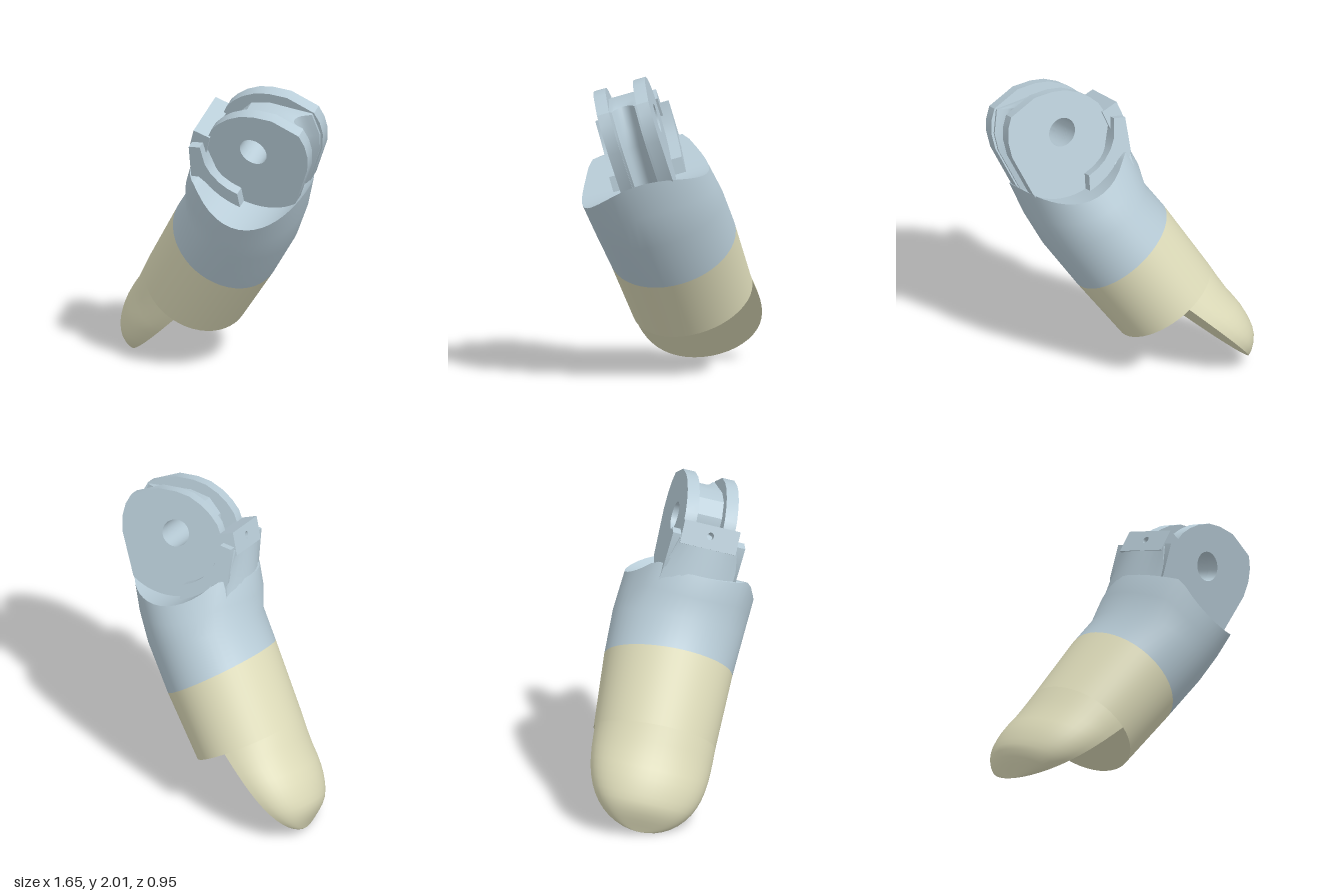
import * as THREE from 'three';
import { toCreasedNormals } from 'three/addons/utils/BufferGeometryUtils.js';

const N = 48; // points round the finger
const V = (x, y, d) => new THREE.Vector3(x, y, d);

// Hinge frame: origin at the middle of the hinge pin, third axis along the pin
const hingeFrame = new THREE.Matrix4().makeBasis(
  V(1, 0, -0.25), V(0, 1, 0.3), V(0.23, -0.28, 0.93)
).setPosition(0.41, 1.69, 0.13);

// Skin between rings of equal point count
function loft(rings, closed) {
  const n = rings[0].length, pos = [], index = [];
  rings.forEach(r => r.forEach(p => pos.push(p.x, p.y, p.z)));
  for (let j = 0; j < rings.length - 1; j++) {
    for (let i = 0; i < (closed ? n : n - 1); i++) {
      const k = (i + 1) % n, a = j * n + i, b = j * n + k;
      index.push(a, a + n, b, b, a + n, b + n);
    }
  }
  const g = new THREE.BufferGeometry();
  g.setAttribute('position', new THREE.Float32BufferAttribute(pos, 3));
  g.setIndex(index);
  return g;
}

// Elliptical section: centre, half height across the finger, half width along the pin
function section([cx, cy, px, py, h, w, off], from = 0, to = N) {
  const ring = [];
  for (let i = from; i < to; i++) {
    const t = i / N * Math.PI * 2, c = Math.cos(t) * h;
    ring.push(V(cx + px * c, cy + py * c, off + w * Math.sin(t)));
  }
  return ring;
}

function outline(points) {
  return new THREE.Shape(points.map(([x, y]) => new THREE.Vector2(x, y)));
}

function pinHole(shape, x, y, r) {
  const hole = new THREE.Path();
  hole.absarc(x, y, r, 0, Math.PI * 2, true);
  shape.holes.push(hole);
  return shape;
}

// Slab lying across the pin between two depths
function slab(shape, d0, d1, steps = 1) {
  const g = new THREE.ExtrudeGeometry(shape, { depth: d1 - d0, steps, bevelEnabled: false, curveSegments: 28 });
  return g.translate(0, 0, d0);
}

export function createModel() {
  const model = new THREE.Group();
  const shellBlue = new THREE.MeshStandardMaterial({ color: 0xb8ccd7, side: THREE.DoubleSide });
  shellBlue.name = 'shellBlue';
  const padTan = new THREE.MeshStandardMaterial({ color: 0xdddbb9, side: THREE.DoubleSide });
  padTan.name = 'padTan';

  function add(name, geometry, material, smooth) {
    let g = geometry.applyMatrix4(hingeFrame);
    if (smooth) g.computeVertexNormals();
    else g = toCreasedNormals(g, 0.5);
    const mesh = new THREE.Mesh(g, material);
    mesh.name = name;
    model.add(mesh);
  }

  // Finger sections from the step upward
  const step = [-0.683, -1.226, 0.84, -0.54, 0.328, 0.395, -0.015];
  const seam = [-0.41, -0.83, 0.8, -0.6, 0.345, 0.415, -0.01];
  const knuckle = [-0.25, -0.6, 0.9, -0.42, 0.35, 0.425, 0.005];

  // Rim follows a scoop turned about the hinge pin
  const rim = section([-0.115, 0, 1, 0, 0.365, 0.42, 0.03]);
  rim.forEach(p => {
    p.y = Math.min(-0.2, -Math.sqrt(Math.max(0.168 - p.x * p.x, 0)));
  });
  const bulge = section(knuckle).map((p, i) => {
    const q = p.clone().lerp(rim[i], 0.5);
    q.x += 0.015 * Math.cos(i / N * Math.PI * 2);
    return q;
  });
  add('upperShell', loft([section(seam), section(knuckle), bulge, rim], true), shellBlue, true);
  const front = [], back = [];
  for (let i = 0; i <= N / 2; i++) {
    front.push(rim[i]);
    back.push(rim[(N - i) % N]);
  }
  add('scoopedTop', loft([front, back], false), shellBlue, true);

  // Lower sleeve and the step under it
  add('lowerSleeve', loft([section(step), section(seam)], true), padTan, true);
  const stepRing = section(step), stepFront = [], stepBack = [];
  for (let i = 0; i <= N / 4; i++) {
    stepFront.push(stepRing[i]);
    stepBack.push(stepRing[(N - i) % N]);
  }
  add('stepFace', loft([stepBack, stepFront], false), padTan, true);

  // Fingertip: half sections between a straight cut line and a curved back
  const [sx, sy, px, py, h, w, off] = step;
  const cutStart = V(sx, sy, 0), cutEnd = V(-1.175, -1.69, 0);
  const backCurve = new THREE.CatmullRomCurve3([
    V(sx - px * h, sy - py * h, 0), V(-1.06, -1.22, 0), V(-1.14, -1.33, 0),
    V(-1.195, -1.435, 0), V(-1.22, -1.53, 0), cutEnd,
  ]);
  const tipRings = [];
  for (let k = 14; k >= 0; k--) {
    const s = Math.sin(k / 14 * Math.PI / 2);
    const c = cutStart.clone().lerp(cutEnd, s), b = backCurve.getPoint(s);
    const width = w * Math.sqrt(Math.max(1 - s ** 3, 0));
    tipRings.push(section([c.x, c.y, c.x - b.x, c.y - b.y, 1, width, off - 0.03 * s], N / 4, 3 * N / 4 + 1));
  }
  add('fingertip', loft(tipRings, false), padTan, true);
  add('flatPad', loft([tipRings.map(r => r[0]), tipRings.map(r => r[r.length - 1])], false), padTan, true);

  // Two hinge plates
  const plate = pinHole(outline([
    [-0.31, -0.03], [-0.3, 0.05], [-0.255, 0.125], [-0.2, 0.175], [-0.13, 0.22], [-0.04, 0.255],
    [0.05, 0.265], [0.17, 0.255], [0.335, 0.17], [0.36, 0.1], [0.365, 0.02], [0.345, -0.08],
    [0.22, -0.34], [0.14, -0.45], [-0.1, -0.45], [-0.22, -0.3], [-0.28, -0.16],
  ]), 0, 0, 0.088);
  add('frontHingePlate', slab(plate, 0.09, 0.17), shellBlue);
  add('backHingePlate', slab(plate, -0.17, -0.09), shellBlue);

  // Core between the plates, its outer edge pressed in to form a round cord groove
  const core = slab(pinHole(outline([
    [-0.2, 0], [-0.17, 0.1], [-0.08, 0.18], [0.05, 0.2], [0.2, 0.18], [0.325, 0.165],
    [0.35, 0.02], [0.33, -0.09], [0.21, -0.34], [0.14, -0.45], [-0.1, -0.45], [-0.16, -0.2],
  ]), 0, 0, 0.088), -0.09, 0.09, 12);
  const corePos = core.attributes.position;
  for (let i = 0; i < corePos.count; i++) {
    const x = corePos.getX(i), d = corePos.getZ(i) / 0.065;
    if (x > 0.25 || (x > 0.13 && corePos.getY(i) < -0.2)) {
      corePos.setX(i, x - 0.085 * Math.sqrt(Math.max(1 - d * d, 0)));
    }
  }
  add('groovedCore', core, shellBlue);

  // Crescent stop hugging the plates
  add('crescentStop', slab(outline([
    [-0.4, 0.017], [-0.425, -0.2], [-0.4, -0.28], [-0.3, -0.36], [-0.135, -0.42],
    [-0.135, -0.29], [-0.195, -0.26], [-0.245, -0.22], [-0.29, -0.16], [-0.315, -0.1], [-0.325, 0.027],
  ]), -0.24, 0.24), shellBlue);

  // Rounded column rising from the shell: height, left, right, half width, edge setback
  const columnRows = [
    [-0.34, -0.515, -0.3, 0.25, 0.07],
    [-0.2, -0.475, -0.32, 0.235, 0.055],
    [0, -0.415, -0.325, 0.19, 0],
  ].map(([y, left, right, half, setback]) => {
    const outer = [], inner = [];
    for (let i = 0; i <= 8; i++) {
      const t = i / 4 - 1;
      outer.push(V(left + setback * t * t, y, half * t));
      inner.push(V(right, y, half * t));
    }
    return { outer, inner };
  });
  add('tabColumn', loft(columnRows.map(r => [...r.inner, ...r.outer.slice().reverse()]), true), shellBlue);
  const columnTop = columnRows[columnRows.length - 1];
  add('tabColumnTop', loft([columnTop.inner, columnTop.outer], false), shellBlue);

  // Leaning tab with a cord hole
  const tab = slab(pinHole(outline([
    [-0.185, -0.03], [0.185, -0.03], [0.185, 0.108], [-0.185, 0.108],
  ]), 0, 0.045, 0.022), 0, 0.1);
  tab.applyMatrix4(new THREE.Matrix4().makeBasis(V(0, 0, -1), V(0.4, 1, 0), V(1, -0.4, 0)).setPosition(-0.415, 0, 0));
  add('cordTab', tab, shellBlue);

  return model;
}
